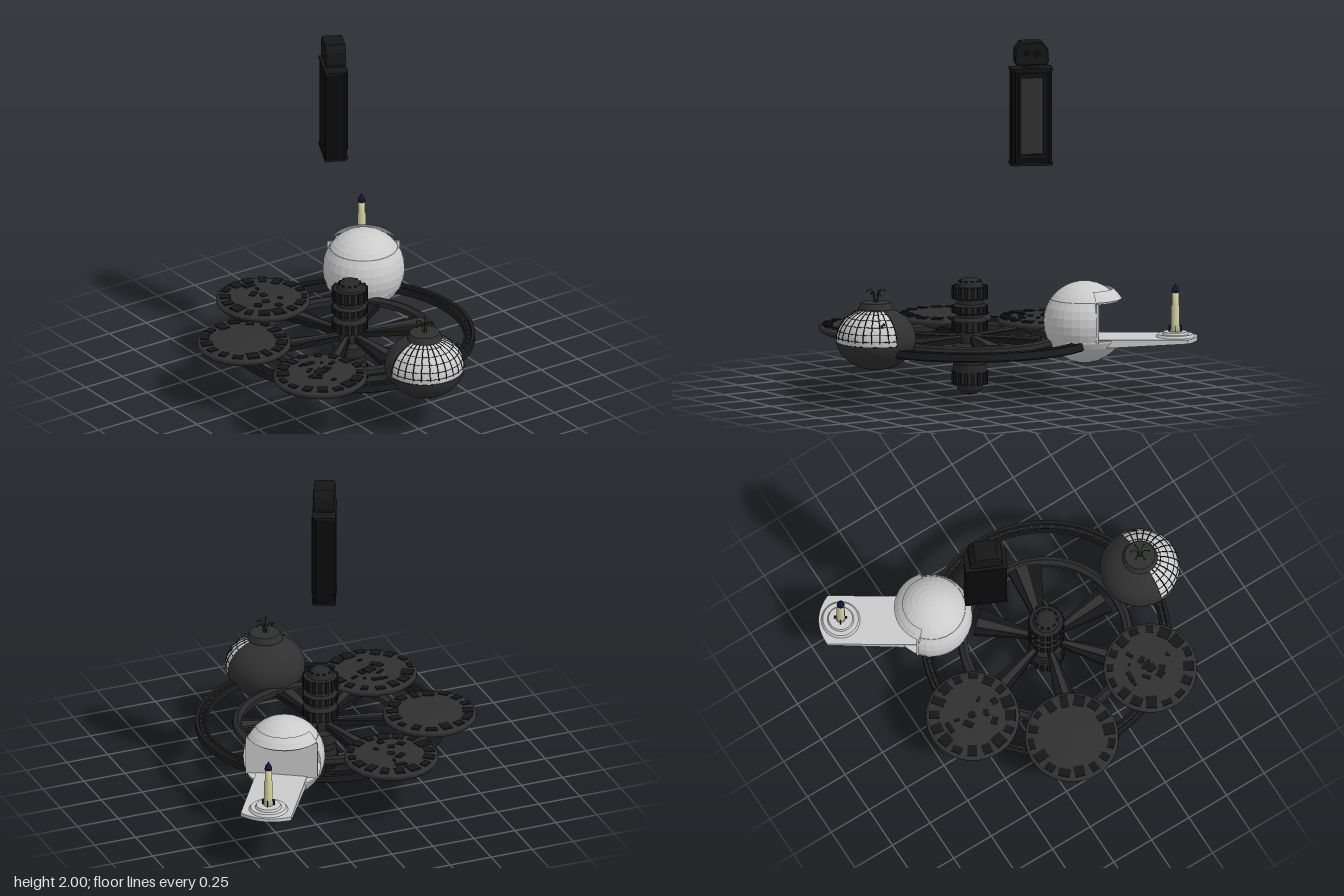
import * as THREE from 'three';

const mat = (color, extra = {}) => new THREE.MeshStandardMaterial({ color, ...extra });
const DARK = mat(0x303030), BLACK = mat(0x161616), DEEP = mat(0x0b0b0b);
const GREY = mat(0xcccccc, { flatShading: true, side: THREE.DoubleSide });
const CREAM = mat(0xd6d3a0), BLUE = mat(0x14143c), GREEN = mat(0x1f4020);
const FLATDARK = mat(0x282828, { flatShading: true, side: THREE.DoubleSide });

function add(parent, name, geometry, material, x = 0, y = 0, z = 0) {
  const mesh = new THREE.Mesh(geometry, material);
  mesh.name = name;
  mesh.position.set(x, y, z);
  parent.add(mesh);
  return mesh;
}
function group(parent, name, x = 0, y = 0, z = 0, ry = 0) {
  const g = new THREE.Group();
  g.name = name;
  g.position.set(x, y, z);
  g.rotation.y = ry;
  parent.add(g);
  return g;
}
const box = (w, h, d) => new THREE.BoxGeometry(w, h, d);
const cyl = (a, b, h, n = 32) => new THREE.CylinderGeometry(a, b, h, n);
const lathe = (pts, n = 48) => new THREE.LatheGeometry(pts.map(p => new THREE.Vector2(...p)), n);
function seeded(seed) {
  return () => (seed = (seed * 16807) % 2147483647) / 2147483647;
}
// Flat slab drawn in x/z with its top at y = 0
function slab(shape, depth) {
  return new THREE.ExtrudeGeometry(shape, { depth, bevelEnabled: false, curveSegments: 16 }).rotateX(Math.PI / 2);
}
const polygon = pts => new THREE.Shape(pts.map(p => new THREE.Vector2(...p)));

function addHub(root) {
  const hub = group(root, 'hub', -0.015, 0, 0.078);
  add(hub, 'hubColumn', lathe([[0, 0], [0.04, 0.01], [0.07, 0.035], [0.08, 0.07], [0.095, 0.07], [0.095, 0.18],
    [0.085, 0.18], [0.085, 0.21], [0.098, 0.22], [0.098, 0.28], [0.07, 0.3], [0.07, 0.36], [0.097, 0.365],
    [0.097, 0.425], [0.075, 0.445], [0.075, 0.46], [0.095, 0.47], [0.095, 0.51], [0.075, 0.52], [0.075, 0.545],
    [0.095, 0.555], [0.095, 0.615], [0.075, 0.62], [0.065, 0.645], [0.04, 0.665], [0, 0.67]], 28), FLATDARK);
  // Rows of teeth around the bands
  for (const [y, h] of [[0.1, 0.07], [0.395, 0.05], [0.49, 0.04], [0.585, 0.07]])
    for (let i = 0; i < 16; i++) {
      const a = i / 16 * Math.PI * 2;
      add(hub, 'hubTooth', box(0.02, h, 0.012), BLACK, Math.sin(a) * 0.097, y, Math.cos(a) * 0.097).rotation.y = a;
    }
  // Small blocks on the crown
  for (let i = 0; i < 10; i++) {
    const a = i / 10 * Math.PI * 2;
    add(hub, 'crownBlock', box(0.018, 0.03, 0.018), BLACK, Math.sin(a) * 0.055, 0.638, Math.cos(a) * 0.055).rotation.y = a;
  }
  // Fan-shaped spokes: [angle in degrees, outer radius, outer half width]
  for (const [deg, r, w] of [[-16, 0.45, 0.1], [-87, 0.4, 0.08], [-139, 0.46, 0.07], [165, 0.46, 0.07],
    [105, 0.46, 0.07], [43, 0.4, 0.08]]) {
    const spoke = group(hub, 'spoke', 0, 0.335, 0, deg * Math.PI / 180);
    add(spoke, 'spokeBlade', slab(polygon([[0.06, -0.015], [r, -w], [r, w], [0.06, 0.015]]), 0.03), BLACK);
    add(spoke, 'spokeRidge', slab(polygon([[0.06, -0.012], [r, -w * 0.5], [r, w * 0.2], [0.06, 0.008]]), 0.02),
      DARK, 0, 0.012);
  }
  // Inner and outer ring
  add(hub, 'innerRing', lathe([[0.44, 0.3], [0.48, 0.29], [0.495, 0.31], [0.49, 0.335], [0.465, 0.345],
    [0.44, 0.33], [0.44, 0.3]], 72), FLATDARK);
  add(hub, 'outerRing', lathe([[0.645, 0.295], [0.69, 0.29], [0.705, 0.3], [0.705, 0.34], [0.685, 0.34],
    [0.68, 0.33], [0.66, 0.33], [0.655, 0.34], [0.645, 0.34], [0.645, 0.295]], 72), mat(0x1c1c1c, { flatShading: true }));
  for (let i = 0; i < 72; i++) {
    const a = i / 72 * Math.PI * 2;
    add(hub, 'ringStud', box(0.012, 0.008, 0.014), DARK, Math.sin(a) * 0.67, 0.332, Math.cos(a) * 0.67).rotation.y = a;
  }
}

// Lens-shaped platform with raised plates
function addDisc(root, x, z, seed, inner) {
  const disc = group(root, 'discPlatform', x, 0, z, seed);
  const rand = seeded(seed * 977);
  add(disc, 'discBody', lathe([[0, 0.283], [0.1, 0.287], [0.19, 0.302], [0.25, 0.328], [0.265, 0.345],
    [0.263, 0.362], [0.24, 0.37], [0.1, 0.376], [0, 0.378]]), DARK);
  for (let i = 0; i < 16; i++) {
    const a = i / 16 * Math.PI * 2, len = 0.03 + rand() * 0.045;
    const r = 0.245 - len / 2;
    add(disc, 'rimPlate', box(0.04 + rand() * 0.03, 0.012, len), BLACK,
      Math.sin(a) * r, 0.371, Math.cos(a) * r).rotation.y = a;
  }
  for (let i = 0; i < inner; i++) {
    const a = rand() * Math.PI * 2, r = rand() * 0.16;
    add(disc, 'deckPlate', box(0.015 + rand() * 0.05, 0.008, 0.012 + rand() * 0.03), BLACK,
      Math.sin(a) * r, 0.378, Math.cos(a) * r).rotation.y = a;
  }
}

function addGardenDome(root) {
  const dome = group(root, 'gardenDome', 0.045, 0.385, 0.74);
  const R = 0.222, S = 0.79;
  const shell = group(dome, 'domeShell');
  shell.scale.y = S;
  const sphere = (r, p0, p1, t0, t1) => new THREE.SphereGeometry(r, 32, 20, p0, p1, t0, t1);
  add(shell, 'lowerBowl', sphere(0.226, 0, Math.PI * 2, 1.68, Math.PI - 1.68), DARK);
  add(shell, 'rearShell', sphere(0.226, Math.PI, Math.PI, 0, 1.68), mat(0x303030, { side: THREE.DoubleSide }));
  add(shell, 'windowShell', sphere(R, 0, Math.PI, 0, 1.68), mat(0xcccccc, { side: THREE.DoubleSide }));
  // Window bars
  for (let i = 0; i <= 14; i++) {
    const bar = add(shell, 'uprightBar', new THREE.TorusGeometry(R, 0.0028, 4, 16, Math.PI / 2), DEEP);
    bar.rotation.y = -i / 14 * Math.PI;
  }
  for (const t of [0.55, 0.8, 1.05, 1.3, 1.52]) {
    add(shell, 'levelBar', new THREE.TorusGeometry(R * Math.sin(t), 0.0022, 4, 32, Math.PI), DEEP,
      0, R * Math.cos(t), 0).rotation.x = Math.PI / 2;
  }
  // Cap with plants
  add(dome, 'capNeck', cyl(0.08, 0.085, 0.04), DARK, 0, 0.162);
  add(dome, 'cap', cyl(0.085, 0.1, 0.036), DARK, 0, 0.187);
  for (let i = 0; i < 6; i++) {
    const a = i / 6 * Math.PI * 2, c = Math.cos(a), s = Math.sin(a), h = 0.255 + (i % 3) * 0.01;
    const stem = new THREE.QuadraticBezierCurve3(new THREE.Vector3(c * 0.01, 0.2, s * 0.01),
      new THREE.Vector3(c * 0.015, h + 0.035, s * 0.015), new THREE.Vector3(c * 0.05, h - 0.005, s * 0.05));
    add(dome, 'plantStem', new THREE.TubeGeometry(stem, 8, 0.0025, 4), GREEN);
    add(dome, 'plantLeaf', new THREE.IcosahedronGeometry(0.007, 0), GREEN, c * 0.05, h - 0.005, s * 0.05);
    add(dome, 'vineLeaf', new THREE.IcosahedronGeometry(0.009, 0), GREEN, 0.17 + 0.012 * c, 0.105 - i * 0.012, 0.06 + 0.012 * s);
  }
}

function addHangar(root) {
  const hangar = group(root, 'hangar', 0.413, 0.432, -0.415, 2.57);
  const R = 0.232, half = 1.25, t0 = 0.98, t1 = 1.98;
  const band = (r, p0, p1, a, b, n = 28, m = 6) => new THREE.SphereGeometry(r, n, m, p0, p1, a, b - a);
  add(hangar, 'hangarRoof', band(R, 0, Math.PI * 2, 0, t0), GREY);
  add(hangar, 'hangarWall', band(R, Math.PI / 2 + half, Math.PI * 2 - 2 * half, t0, t1, 18, 5), GREY);
  add(hangar, 'hangarBase', band(R, 0, Math.PI * 2, t1, Math.PI), GREY);
  // Overhang above the opening
  add(hangar, 'visor', band(0.25, Math.PI / 2 - half, 2 * half, 0.7, 1.0, 14, 2), GREY);
  add(hangar, 'backWall', box(0.41, 0.225, 0.012), GREY, 0, 0.018, 0.075);
  add(hangar, 'ceiling', cyl(0.192, 0.192, 0.01, 28), GREY, 0, 0.127);
  add(hangar, 'hangarFloor', cyl(0.213, 0.213, 0.01, 28), GREY, 0, -0.092);
  // Landing pier, thinner towards its rounded end
  const shape = polygon([[-0.145, 0.08], [0.145, 0.08], [0.145, 0.585]]);
  shape.quadraticCurveTo(0, 0.685, -0.145, 0.585);
  const pier = slab(shape, 0.05), p = pier.attributes.position;
  for (let i = 0; i < p.count; i++)
    if (p.getY(i) < -0.01) p.setY(i, -0.05 + 0.055 * (p.getZ(i) - 0.08));
  pier.computeVertexNormals();
  add(hangar, 'pier', pier, GREY, 0, -0.082, 0);
  // Launch pad and rocket
  const pad = group(hangar, 'launchPad', 0, -0.082, 0.511);
  add(pad, 'padBase', cyl(0.1, 0.11, 0.014), GREY, 0, 0.007);
  add(pad, 'padTop', cyl(0.068, 0.075, 0.014), GREY, 0, 0.02);
  add(pad, 'rocketBody', lathe([[0, 0.025], [0.027, 0.025], [0.024, 0.08], [0.024, 0.17], [0.02, 0.18],
    [0.02, 0.25], [0, 0.25]], 16), CREAM);
  add(pad, 'rocketNose', lathe([[0, 0.245], [0.022, 0.25], [0.018, 0.27], [0, 0.3]], 16), BLUE);
  for (let i = 0; i < 4; i++) {
    const a = i * Math.PI / 2;
    add(pad, 'rocketFin', box(0.004, 0.035, 0.02), BLUE, Math.sin(a) * 0.027, 0.045, Math.cos(a) * 0.027).rotation.y = a;
  }
}

// Floating tower; its broad panelled face points along local +z
function addTower(root) {
  const tower = group(root, 'tower', 0.1, 0, -0.255, 1.13);
  const L = 0.23, W = 0.125;
  const block = (w, d, c, h) => slab(polygon([[-w / 2, -d / 2], [w / 2, -d / 2], [w / 2, d / 2 - c],
    [w / 2 - c, d / 2], [-w / 2 + c, d / 2], [-w / 2, d / 2 - c]]), h);
  add(tower, 'towerBody', block(L, W, 0.02, 0.535), DEEP, 0, 1.845);
  add(tower, 'towerTopPlate', block(L + 0.01, W + 0.008, 0.02, 0.014), BLACK, 0, 1.852);
  add(tower, 'towerFoot', block(L + 0.01, W + 0.008, 0.02, 0.014), BLACK, 0, 1.314);
  add(tower, 'screen', box(0.12, 0.43, 0.006), DARK, 0, 1.585, W / 2 + 0.001);
  for (const s of [-1, 1]) {
    add(tower, 'screenSide', box(0.012, 0.47, 0.014), BLACK, s * 0.068, 1.585, W / 2);
    add(tower, 'screenEdge', box(0.148, 0.012, 0.014), BLACK, 0, 1.585 + s * 0.23, W / 2);
  }
  add(tower, 'neck', cyl(0.045, 0.045, 0.04, 16), BLACK, 0, 1.868);
  const head = polygon([[-0.085, 0], [0.085, 0], [0.092, 0.02], [0.088, 0.085], [0.06, 0.122], [-0.06, 0.122],
    [-0.088, 0.085], [-0.092, 0.02]]);
  add(tower, 'head', new THREE.ExtrudeGeometry(head, { depth: 0.1, bevelSize: 0.004, bevelThickness: 0.008,
    bevelSegments: 1 }), BLACK, 0, 1.876, -0.05);
  for (const x of [-0.03, 0.03]) {
    add(tower, 'lensRim', new THREE.TorusGeometry(0.02, 0.004, 6, 20), DARK, x, 1.94, 0.06);
    add(tower, 'lens', cyl(0.018, 0.018, 0.006, 20), DEEP, x, 1.94, 0.059).rotation.x = Math.PI / 2;
  }
}

export function createModel() {
  const root = new THREE.Group();
  root.name = 'spaceStation';
  addHub(root);
  addDisc(root, -0.195, -0.525, 1, 14);
  addDisc(root, -0.6, -0.12, 2, 0);
  addDisc(root, -0.485, 0.475, 3, 16);
  addGardenDome(root);
  addHangar(root);
  addTower(root);
  return root;
}
